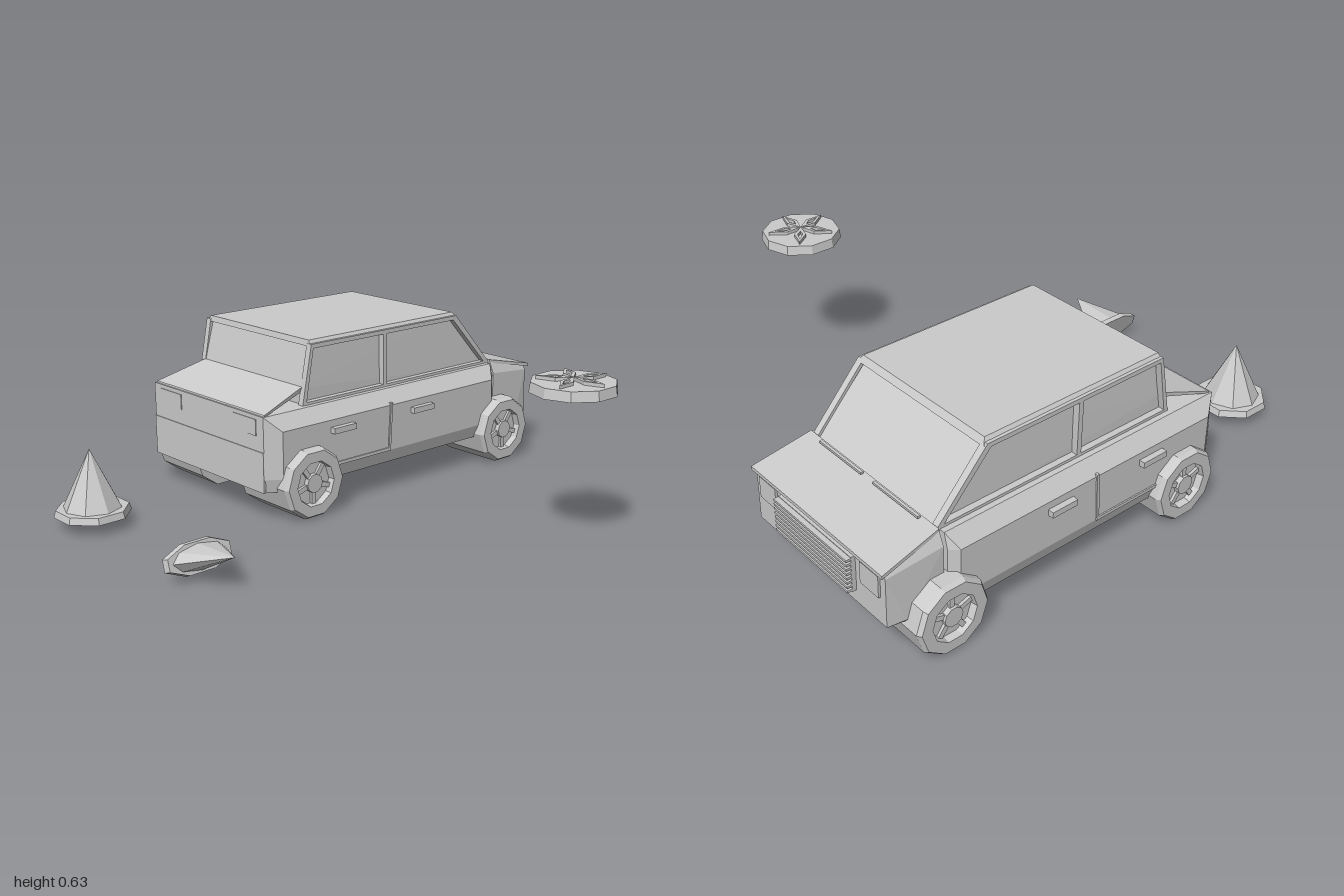
import * as THREE from 'three';
import { ConvexGeometry } from 'three/addons/geometries/ConvexGeometry.js';

const material = new THREE.MeshStandardMaterial({ color: 0xcccccc, flatShading: true, side: THREE.DoubleSide });

function add(parent, name, geometry, x = 0, y = 0, z = 0) {
  const mesh = new THREE.Mesh(geometry, material);
  mesh.name = name;
  mesh.position.set(x, y, z);
  parent.add(mesh);
  return mesh;
}

// Convex solid from [halfWidth, y, z] points, mirrored across x.
function hull(points) {
  return new ConvexGeometry(points.flatMap(([x, y, z]) =>
    [new THREE.Vector3(x, y, z), new THREE.Vector3(-x, y, z)]));
}

function box(parent, name, w, h, d, x, y, z) {
  return add(parent, name, new THREE.BoxGeometry(w, h, d), x, y, z);
}

const outline = (points, Type = THREE.Shape) => new Type(points.map(([x, y]) => new THREE.Vector2(x, y)));

function createWheel(side, z) {
  const wheel = new THREE.Group();
  wheel.name = 'wheel';
  wheel.position.set(0, 0.135, z);
  wheel.rotation.z = -side * Math.PI / 2;
  const profile = [[0, 0.135], [0.135, 0.135], [0.135, 0.395], [0.125, 0.41], [0.085, 0.41], [0.08, 0.385], [0, 0.385]];
  add(wheel, 'tyre', new THREE.LatheGeometry(profile.map(([r, y]) => new THREE.Vector2(r, y)), 10));
  add(wheel, 'hub', new THREE.CylinderGeometry(0.035, 0.035, 0.02, 10), 0, 0.394, 0);
  for (let i = 0; i < 5; i++) {
    const a = i * Math.PI * 0.4;
    box(wheel, 'spoke', 0.055, 0.012, 0.018, Math.cos(a) * 0.055, 0.389, -Math.sin(a) * 0.055).rotation.y = a;
  }
  return wheel;
}

function createCar() {
  const car = new THREE.Group();
  car.name = 'car';
  car.position.x = -0.485;

  // Lower body with chamfered shoulders and tapered tail
  const body = [];
  for (const [z, inset] of [[0.41, 0.04], [0.355, 0], [-0.72, 0], [-0.75, 0.025]]) {
    body.push([0.36 - inset, 0.12, z], [0.375 - inset, 0.17, z], [0.375 - inset, 0.345, z], [0.335, 0.4, z]);
  }
  add(car, 'body', hull(body));

  // Nose, a separate piece in front of the body
  add(car, 'nose', hull([
    [0.345, 0.13, -0.76], [0.345, 0.36, -0.76], [0.325, 0.405, -0.76],
    [0.345, 0.16, -0.9], [0.335, 0.16, -0.965], [0.335, 0.34, -0.965], [0.325, 0.36, -0.965],
  ]));
  add(car, 'hood', hull([
    [0.325, 0.4, -0.76], [0.325, 0.413, -0.76], [0.34, 0.352, -0.98], [0.34, 0.365, -0.98],
  ]));
  box(car, 'noseFloor', 0.6, 0.02, 0.14, 0, 0.135, -0.8);

  // Cabin core with glass faces
  add(car, 'cabin', hull([
    [0.292, 0.39, 0.2], [0.292, 0.46, 0.2], [0.285, 0.62, 0.16],
    [0.285, 0.62, -0.56], [0.292, 0.39, -0.76],
  ]));
  add(car, 'roof', hull([
    [0.31, 0.61, 0.17], [0.295, 0.632, 0.165], [0.31, 0.61, -0.58], [0.295, 0.632, -0.565],
  ]));

  // Sloping rear deck lid
  add(car, 'rearDeck', hull([
    [0.295, 0.445, 0.21], [0.295, 0.465, 0.2], [0.33, 0.395, 0.405], [0.33, 0.405, 0.4],
  ]));

  // Side frames with window openings, drawn with -z as the first coordinate
  const frame = outline([[-0.215, 0.395], [-0.17, 0.62], [0.57, 0.62], [0.77, 0.395]]);
  frame.holes.push(
    outline([[-0.195, 0.41], [-0.16, 0.604], [0.182, 0.604], [0.182, 0.41]], THREE.Path),
    outline([[0.2, 0.41], [0.2, 0.604], [0.555, 0.604], [0.733, 0.41]], THREE.Path),
  );
  const frameGeometry = new THREE.ExtrudeGeometry(frame, { depth: 0.025, bevelEnabled: false });
  for (const s of [-1, 1]) {
    add(car, 'windowFrame', frameGeometry, s > 0 ? 0.29 : -0.315).rotation.y = Math.PI / 2;
    for (const z of [0.08, -0.32]) box(car, 'doorHandle', 0.025, 0.022, 0.105, s * 0.384, 0.307, z);
    // Door edge and sill trim
    box(car, 'doorEdge', 0.012, 0.185, 0.01, s * 0.374, 0.262, -0.16).rotation.x = -0.06;
    box(car, 'sillTrim', 0.012, 0.012, 0.5, s * 0.374, 0.176, 0.09);
    box(car, 'tailLight', 0.135, 0.06, 0.01, s * 0.227, 0.355, 0.408);
    box(car, 'headlight', 0.09, 0.08, 0.012, s * 0.265, 0.3, -0.967);
    for (const z of [0.235, -0.77]) car.add(createWheel(s, z));
  }
  box(car, 'rearBumper', 0.67, 0.15, 0.008, 0, 0.195, 0.409);

  // Grille with frame and slats
  box(car, 'grille', 0.38, 0.13, 0.02, 0, 0.272, -0.97);
  for (let i = 0; i < 8; i++) box(car, 'grilleSlat', 0.38, 0.008, 0.02, 0, 0.215 + i * 0.0165, -0.988);

  // Wipers at the foot of the windscreen
  for (const s of [-1, 1]) box(car, 'wiper', 0.22, 0.008, 0.01, s * 0.14, 0.417, -0.775);
  return car;
}

function createCone(name) {
  const cone = new THREE.Group();
  cone.name = name;
  add(cone, 'coneBase', new THREE.CylinderGeometry(0.13, 0.137, 0.025, 8), 0, 0.0125, 0).rotation.y = Math.PI / 8;
  add(cone, 'coneBody', new THREE.ConeGeometry(0.105, 0.215, 8), 0, 0.1325, 0);
  return cone;
}

// Round medallion with a five-armed raised star
function createDisc() {
  const disc = new THREE.Group();
  disc.name = 'starDisc';
  disc.position.set(0.742, 0.565, -0.177);
  add(disc, 'disc', new THREE.CylinderGeometry(0.145, 0.15, 0.035, 10), 0, 0.0175, 0);
  const arm = outline([[0, 0], [0.06, 0.022], [0.125, 0], [0.06, -0.022]]);
  arm.holes.push(outline([[0.035, 0], [0.06, 0.01], [0.1, 0], [0.06, -0.01]], THREE.Path));
  const armGeometry = new THREE.ExtrudeGeometry(arm, { depth: 0.015, bevelEnabled: false });
  armGeometry.rotateX(-Math.PI / 2);
  for (let i = 0; i < 5; i++) add(disc, 'starArm', armGeometry, 0, 0.032, 0).rotation.y = i * Math.PI * 0.4;
  return disc;
}

export function createModel() {
  const model = new THREE.Group();
  model.name = 'carScene';
  model.add(createCar(), createDisc());

  const standing = createCone('standingCone');
  standing.position.set(-0.56, 0.05, 0.862);

  // Toppled cone, flattened across its height
  const fallen = createCone('fallenCone');
  fallen.position.set(0.07, 0.073, 0.862);
  fallen.rotation.z = -Math.PI / 2 + 0.27;
  fallen.scale.set(0.42, 0.9, 1);
  model.add(standing, fallen);
  return model;
}
